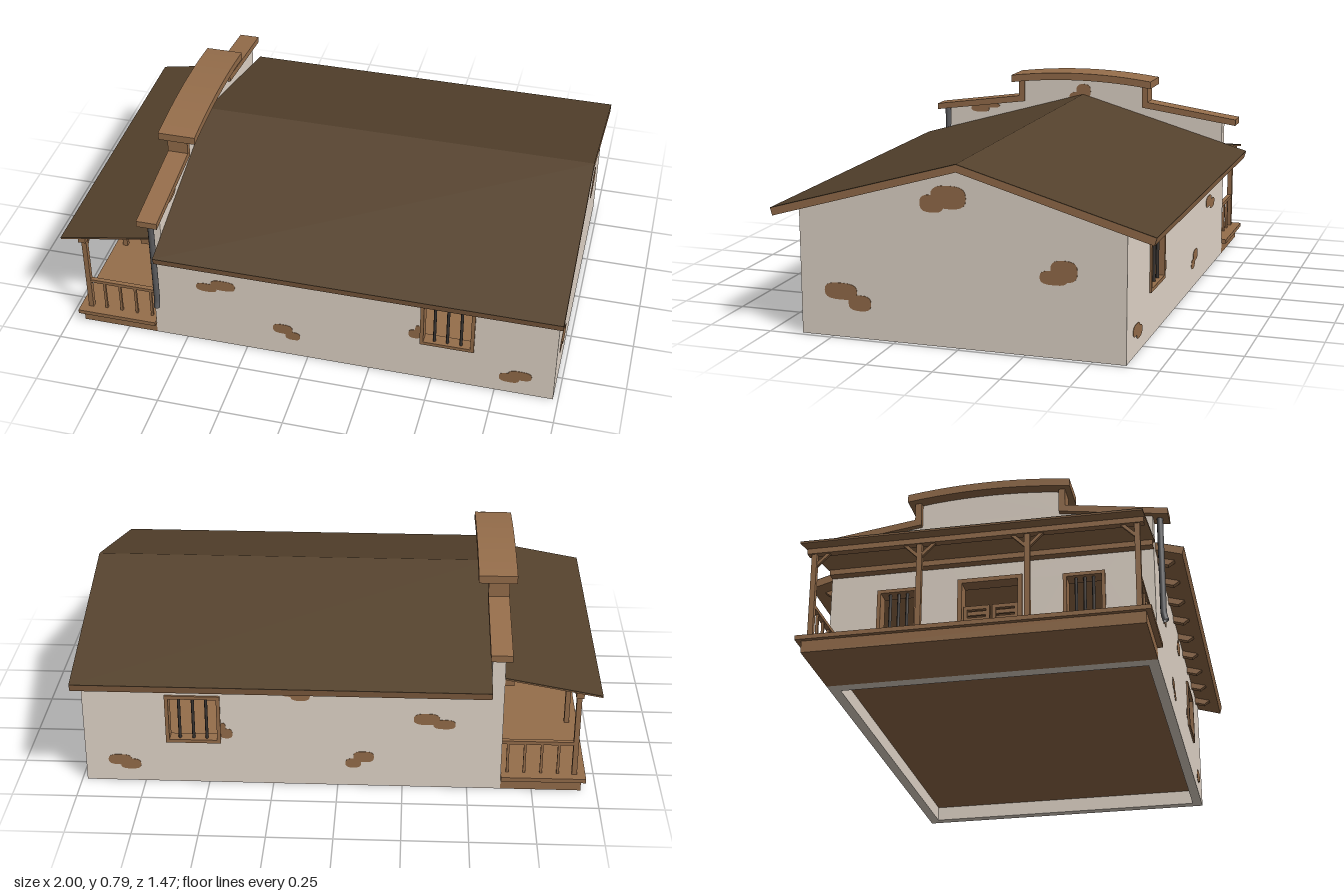
import * as THREE from 'three';

const mat = (name, color) => Object.assign(new THREE.MeshStandardMaterial({ color }), { name });

export function createModel() {
  const root = new THREE.Group();
  root.name = 'frontierHouse';
  const plaster = mat('plaster', 0xe4d8cb);
  const wood = mat('wood', 0x966e4b);
  const shingle = mat('shingle', 0x55422d);
  const iron = mat('iron', 0x5c5c5e);
  const darkIron = mat('darkIron', 0x3a3532);
  iron.side = THREE.DoubleSide;

  const add = (name, geo, material) => {
    const m = new THREE.Mesh(geo, material);
    m.name = name;
    root.add(m);
    return m;
  };
  // box given by its limits
  const box = (name, x0, x1, y0, y1, z0, z1, material = wood) =>
    add(name, new THREE.BoxGeometry(x1 - x0, y1 - y0, z1 - z0)
      .translate((x0 + x1) / 2, (y0 + y1) / 2, (z0 + z1) / 2), material);
  const shapeOf = (pts, holes = []) => {
    const s = new THREE.Shape(pts.map(p => new THREE.Vector2(p[0], p[1])));
    holes.forEach(h => s.holes.push(new THREE.Path(h.map(p => new THREE.Vector2(p[0], p[1])))));
    return s;
  };
  const rect = (u0, u1, y0, y1) => [[u0, y0], [u1, y0], [u1, y1], [u0, y1]];
  // outline in (x, y), extruded from z0 to z1
  const plateZ = (name, pts, z0, z1, material, holes) =>
    add(name, new THREE.ExtrudeGeometry(shapeOf(pts, holes), { depth: z1 - z0, bevelEnabled: false })
      .translate(0, 0, z0), material);
  // outline in (z, y), extruded from x0 to x1
  const plateX = (name, pts, x0, x1, material, holes) =>
    add(name, new THREE.ExtrudeGeometry(shapeOf(pts, holes), { depth: x1 - x0, bevelEnabled: false })
      .rotateY(-Math.PI / 2).translate(x1, 0, 0), material);
  // rounded blotch filling the limits u0..u1, y0..y1
  const blotch = ([u0, u1, y0, y1]) => Array.from({ length: 20 }, (_, i) => {
    const a = i / 20 * Math.PI * 2;
    const full = v => Math.sign(v) * Math.abs(v) ** 0.7;
    return [(u0 + u1) / 2 + (u1 - u0) / 2 * full(Math.cos(a)), (y0 + y1) / 2 + (y1 - y0) / 2 * full(Math.sin(a))];
  });
  const arc = (half, yEnd, yMid) => Array.from({ length: 13 }, (_, i) => {
    const t = i / 6 - 1;
    return [half * t, yMid - (yMid - yEnd) * t * t];
  });

  // Side walls with barred windows and worn patches
  const sidePatches = [
    [-0.45, -0.365, 0.26, 0.3], [-0.39, -0.29, 0.277, 0.325],
    [-0.14, -0.06, 0.105, 0.152], [-0.09, -0.03, 0.08, 0.12],
    [0.105, 0.18, 0.37, 0.415], [0.14, 0.22, 0.387, 0.44],
    [0.405, 0.452, 0.198, 0.24], [0.43, 0.452, 0.21, 0.265],
    [0.765, 0.845, 0.052, 0.097], [0.8, 0.892, 0.07, 0.115],
  ];
  for (const s of [1, -1]) {
    const span = (a, b) => [Math.min(s * a, s * b), Math.max(s * a, s * b)];
    const [w0, w1] = span(0.585, 0.625);
    plateZ('sideWall', rect(-0.58, 0.94, 0, 0.474), w0, w1, plaster, [rect(0.455, 0.655, 0.185, 0.375)]);
    const [f0, f1] = span(0.583, 0.633);
    plateZ('windowFrame', rect(0.45, 0.662, 0.178, 0.382), f0, f1, wood, [rect(0.464, 0.648, 0.192, 0.368)]);
    for (const x of [0.505, 0.556, 0.609])
      add('windowBar', new THREE.CylinderGeometry(0.006, 0.006, 0.18, 8).translate(x, 0.28, s * 0.615), darkIron);
    const [p0, p1] = span(0.624, 0.6265);
    sidePatches.forEach(p => plateZ('wornPatch', blotch(p), p0, p1, wood));
    // Rafter tails under the eaves
    for (let i = 0; i < 9; i++) {
      const x = -0.505 + i * 0.172;
      plateX('rafterTail', [[0.61, 0.48], [0.69, 0.458], [0.665, 0.44], [0.61, 0.456]].map(([z, y]) => [s * z, y]),
        x - 0.012, x + 0.012, wood);
    }
  }

  // Gable end
  plateX('gableWall', [[-0.625, 0], [0.625, 0], [0.625, 0.476], [0, 0.66], [-0.625, 0.476]], 0.94, 0.98, plaster);
  [[0.4, 0.53, 0.143, 0.207], [0.345, 0.435, 0.105, 0.165], [-0.41, -0.305, 0.27, 0.322],
    [-0.445, -0.345, 0.283, 0.362], [0.055, 0.147, 0.5, 0.565], [-0.03, 0.105, 0.517, 0.602]]
    .forEach(p => plateX('wornPatch', blotch(p), 0.979, 0.982, wood));

  // Raised floor, hollow below
  box('floor', -0.58, 0.94, 0.06, 0.072, -0.585, 0.585);

  // Main roof: timber deck with a shingle skin
  const chevron = (yMid, zEnd, yEnd, yMid2, zEnd2, yEnd2) =>
    [[0, yMid], [zEnd, yEnd], [zEnd2, yEnd2], [0, yMid2], [-zEnd2, yEnd2], [-zEnd, yEnd]];
  plateX('roofDeck', chevron(0.684, 0.733, 0.474, 0.657, 0.725, 0.447), -0.58, 1, wood);
  plateX('roofShingles', chevron(0.687, 0.7335, 0.477, 0.684, 0.733, 0.474), -0.58, 1, shingle);

  // Tall false front with door and window openings
  const frontWins = [-0.36, 0.36];
  const crown = arc(0.27, 0.738, 0.758).reverse();
  plateX('falseFront',
    [[-0.625, 0], [0.625, 0], [0.625, 0.6], [0.27, 0.65], ...crown, [-0.27, 0.65], [-0.625, 0.6]],
    -0.63, -0.58, plaster,
    [rect(-0.115, 0.115, 0.065, 0.385), ...frontWins.map(z => rect(z - 0.075, z + 0.075, 0.185, 0.375))]);
  for (const s of [1, -1])
    plateX('sideCoping', [[0.27, 0.738], [0.295, 0.738], [0.295, 0.667], [0.685, 0.611], [0.685, 0.585], [0.27, 0.643]]
      .map(([z, y]) => [s * z, y]), -0.652, -0.57, wood);
  plateX('crownCoping', [...arc(0.318, 0.733, 0.755), ...arc(0.318, 0.764, 0.786).reverse()], -0.68, -0.53, wood);
  [[-0.035, 0.03, 0.67, 0.732], [-0.02, 0.062, 0.652, 0.695], [0.44, 0.525, 0.583, 0.615], [0.39, 0.47, 0.605, 0.625]]
    .forEach(p => plateX('wornPatch', blotch(p), -0.581, -0.5775, wood));
  [[0.215, 0.285, 0.517, 0.573], [0.45, 0.55, 0.568, 0.605]]
    .forEach(p => plateX('wornPatch', blotch(p), -0.6325, -0.629, wood));

  for (const z of frontWins) {
    plateX('windowFrame', rect(z - 0.08, z + 0.08, 0.178, 0.382), -0.637, -0.575, wood,
      [rect(z - 0.066, z + 0.066, 0.192, 0.368)]);
    for (const d of [-0.033, 0, 0.033])
      add('windowBar', new THREE.CylinderGeometry(0.006, 0.006, 0.18, 8).translate(-0.615, 0.28, z + d), darkIron);
  }
  // Door frame and pair of swing doors
  plateX('doorFrame', [[-0.125, 0.062], [-0.125, 0.397], [0.125, 0.397], [0.125, 0.062], [0.108, 0.062],
    [0.108, 0.38], [-0.108, 0.38], [-0.108, 0.062]], -0.637, -0.575, wood);
  for (const s of [1, -1]) {
    const c = s * 0.055;
    plateX('swingDoor', rect(c - 0.05, c + 0.05, 0.13, 0.29), -0.615, -0.6, wood,
      [rect(c - 0.036, c + 0.036, 0.145, 0.275)]);
    for (let i = 0; i < 5; i++)
      box('doorSlat', -0.612, -0.603, 0.152 + i * 0.025, 0.168 + i * 0.025, c - 0.037, c + 0.037);
  }

  // Porch base, deck, beams and roof
  box('porchBase', -0.94, -0.63, 0, 0.046, -0.625, 0.625);
  box('porchDeck', -0.957, -0.63, 0.045, 0.062, -0.645, 0.645);
  box('porchBeam', -0.93, -0.9, 0.405, 0.43, -0.625, 0.625);
  box('porchLedger', -0.665, -0.63, 0.453, 0.478, -0.625, 0.625);
  plateZ('porchRoofBoards', [[-1, 0.413], [-0.63, 0.481], [-0.63, 0.485], [-1, 0.417]], -0.63, 0.63, wood);
  plateZ('porchRoofShingles', [[-1, 0.417], [-0.63, 0.485], [-0.63, 0.489], [-1, 0.421]], -0.63, 0.63, shingle);

  // Posts with braces, and side railings
  [-0.6, -0.2, 0.2, 0.6].forEach(z => {
    box('porchPost', -0.924, -0.904, 0.06, 0.41, z - 0.01, z + 0.01);
    for (const d of [-1, 1]) {
      if (Math.abs(z + d * 0.06) > 0.62) continue;
      plateX('postBrace', [[0, 0.345], [0, 0.362], [0.045, 0.407], [0.062, 0.407]].map(([u, y]) => [z + d * u, y]),
        -0.92, -0.908, wood);
    }
  });
  for (const z of [-0.6, 0.6]) {
    box('railing', -0.914, -0.63, 0.19, 0.204, z - 0.009, z + 0.009);
    for (const x of [-0.85, -0.785, -0.72, -0.655])
      box('baluster', x - 0.005, x + 0.005, 0.06, 0.192, z - 0.005, z + 0.005);
  }

  // Rain pipe with a kicked-out foot
  const path = new THREE.CurvePath();
  const stops = [[0.59, 0.65], [0.19, 0.65], [0.162, 0.658]].map(([y, z]) => new THREE.Vector3(-0.609, y, z));
  path.add(new THREE.LineCurve3(stops[0], stops[1]));
  path.add(new THREE.LineCurve3(stops[1], stops[2]));
  add('rainPipe', new THREE.TubeGeometry(path, 24, 0.012, 10), iron);

  return root;
}
